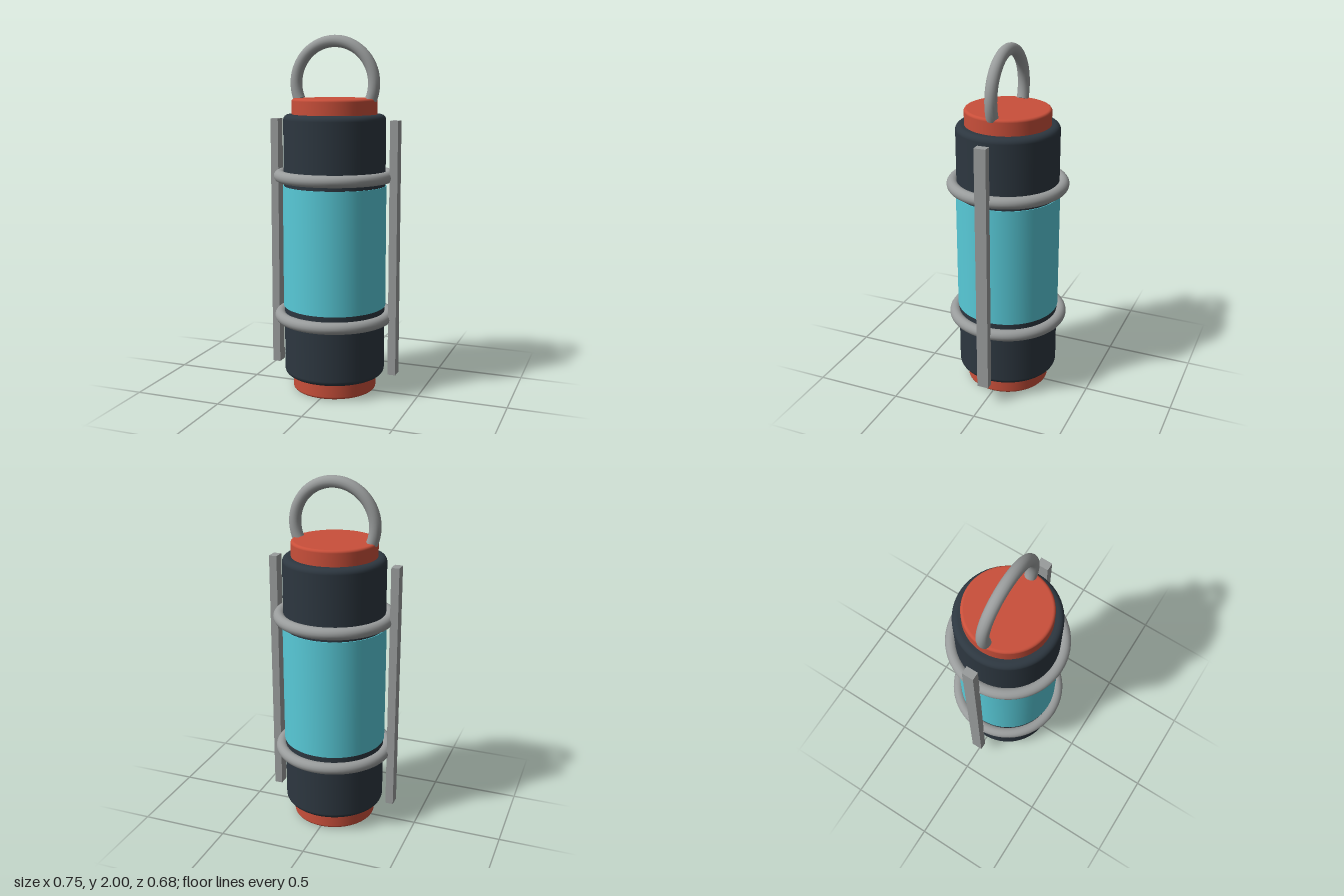
import * as THREE from 'three';

const mat = (name, color) => {
  const m = new THREE.MeshStandardMaterial({ color });
  m.name = name;
  return m;
};

export function createModel() {
  const red = mat('red', 0xc94f3a);
  const navy = mat('dark navy', 0x2d3740);
  const cyan = mat('cyan', 0x58cad8);
  const grey = mat('grey metal', 0x999c9c);

  const group = new THREE.Group();
  group.name = 'canister';
  const add = (name, geometry, material, x = 0, y = 0, z = 0, parent = group) => {
    const mesh = new THREE.Mesh(geometry, material);
    mesh.name = name;
    mesh.position.set(x, y, z);
    parent.add(mesh);
    return mesh;
  };

  // Solid cylinder from y0 to y1 with rounded rims
  const roundedCylinder = (radius, y0, y1, bevel) => {
    const pts = [new THREE.Vector2(0, y0), new THREE.Vector2(radius - bevel - 0.001, y0)];
    const steps = 6;
    for (const [cy, start] of [[y0 + bevel, -Math.PI / 2], [y1 - bevel, 0]]) {
      for (let i = 0; i <= steps; i++) {
        const a = start + (i / steps) * Math.PI / 2;
        pts.push(new THREE.Vector2(radius - bevel + Math.cos(a) * bevel, cy + Math.sin(a) * bevel));
      }
    }
    pts.push(new THREE.Vector2(radius - bevel - 0.001, y1), new THREE.Vector2(0, y1));
    return new THREE.LatheGeometry(pts, 64);
  };

  // Body, end caps and the glass sleeve
  add('body', roundedCylinder(0.285, 0.09, 1.57, 0.03), navy);
  add('bottomCap', roundedCylinder(0.237, 0, 0.12, 0.015), red);
  add('topCap', roundedCylinder(0.237, 1.54, 1.657, 0.015), red);
  add('sleeve', new THREE.CylinderGeometry(0.29, 0.29, 0.685, 64), cyan, 0, 0.8325);

  // Clamp rings
  for (const [name, y] of [['lowerRing', 0.432], ['upperRing', 1.23]]) {
    add(name, new THREE.TorusGeometry(0.307, 0.033, 16, 64), grey, 0, y).rotation.x = Math.PI / 2;
  }

  // Side rails
  for (const [name, side] of [['leftRail', 1], ['rightRail', -1]]) {
    add(name, new THREE.BoxGeometry(0.045, 1.425, 0.066), grey, side * 0.3525, 0.8285);
  }

  // Carrying loop with closed ends, centred over the top cap
  const R = 0.228, tube = 0.033, arc = Math.PI * 1.25, start = -Math.PI / 8;
  const handle = new THREE.Group();
  handle.name = 'handle';
  handle.position.y = 1.739;
  handle.rotation.z = start;
  group.add(handle);
  add('handleLoop', new THREE.TorusGeometry(R, tube, 16, 48, arc), grey, 0, 0, 0, handle);
  const disc = new THREE.CircleGeometry(tube, 16);
  add('handleEnd', disc, grey, R, 0, 0, handle).rotation.x = Math.PI / 2;
  const farEnd = add('handleEnd', disc, grey, R * Math.cos(arc), R * Math.sin(arc), 0, handle);
  farEnd.rotation.set(-Math.PI / 2, arc, 0, 'ZXY');
  farEnd.rotation.set(-Math.PI / 2, 0, arc, 'ZXY');

  return group;
}
